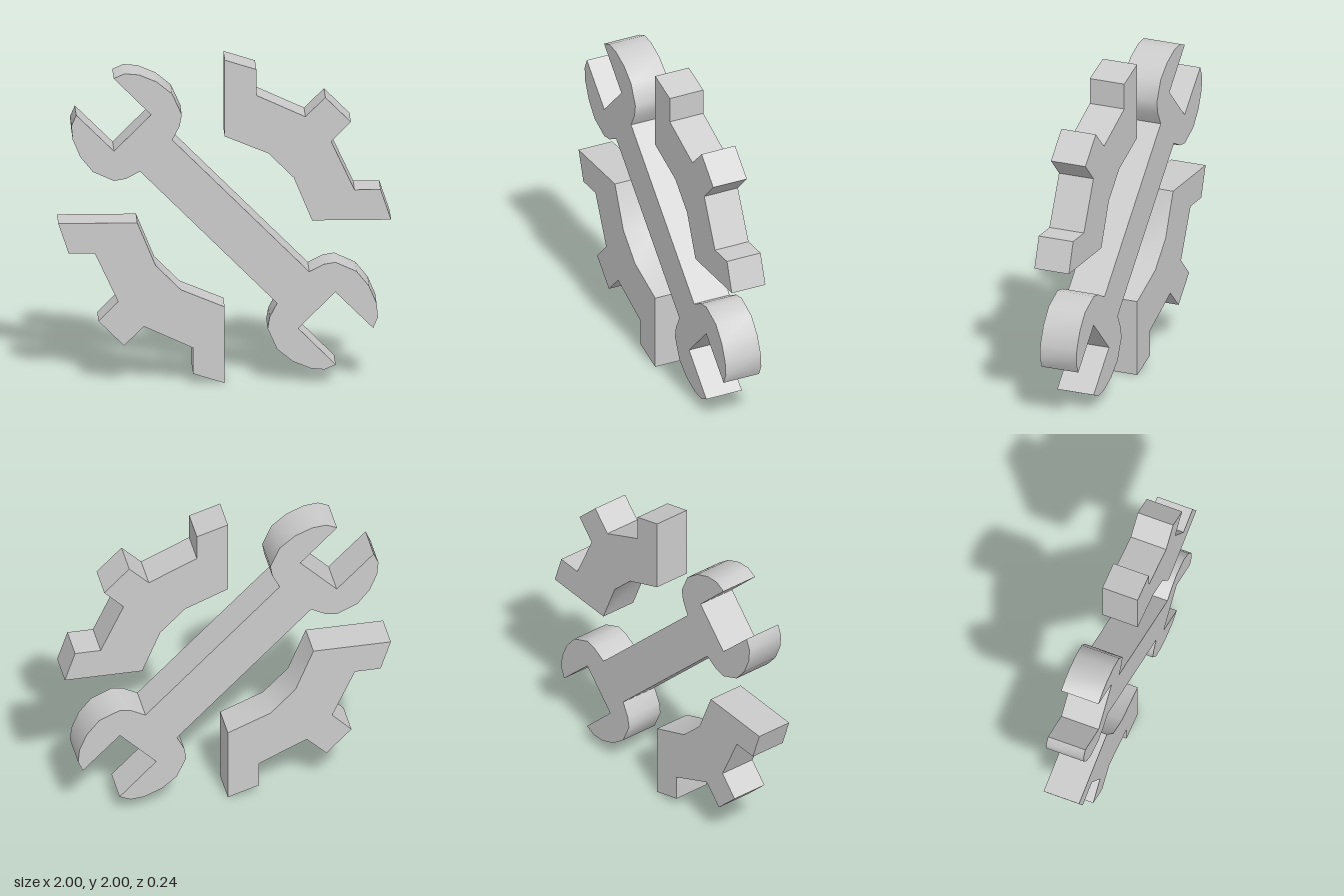
import * as THREE from 'three';
import { toCreasedNormals } from 'three/addons/utils/BufferGeometryUtils.js';

const FRONT = 0.12;

// Extrude an outline backwards from the shared front plane
function plate(name, points, depth) {
  const shape = new THREE.Shape(points.map(([x, y]) => new THREE.Vector2(x, y)));
  const geometry = new THREE.ExtrudeGeometry(shape, { depth, bevelEnabled: false });
  geometry.translate(0, 0, FRONT - depth);
  const mesh = new THREE.Mesh(
    toCreasedNormals(geometry, THREE.MathUtils.degToRad(35)),
    new THREE.MeshStandardMaterial({ color: 0xcccccc })
  );
  mesh.name = name;
  return mesh;
}

// Half turn about the centre (0, 1)
const halfTurn = (points) => points.map(([x, y]) => [-x, 2 - y]);

export function createModel() {
  const group = new THREE.Group();
  group.name = 'wrenchAndGear';

  // One jaw: handle corner, rounded head, tip, then the inside of the slot
  const jaw = [
    [0.315, 0.492], [0.27, 0.405], [0.258, 0.335], [0.315, 0.208], [0.408, 0.132],
    [0.515, 0.087], [0.6, 0.079], [0.667, 0.108], [0.442, 0.335],
  ];
  // Mirror the jaw across the handle axis, then repeat the head at the other end
  const otherJaw = jaw.map(([x, y]) => [1 - y, 1 - x]).reverse();
  const head = [...jaw, ...otherJaw];
  group.add(plate('wrench', [...head, ...halfTurn(head)], 0.24));

  // Gear segment with a whole tooth in the middle and half a tooth at each end
  const segment = [
    [0, 2], [0.19, 1.94], [0.19, 1.78], [0.485, 1.645], [0.605, 1.763], [0.758, 1.61],
    [0.64, 1.49], [0.78, 1.19], [0.937, 1.19], [1, 1.003], [0.525, 1.003],
    [0.415, 1.268], [0.263, 1.42], [0, 1.528],
  ];
  group.add(plate('upperGearSegment', segment, 0.227));
  group.add(plate('lowerGearSegment', halfTurn(segment), 0.227));

  return group;
}
